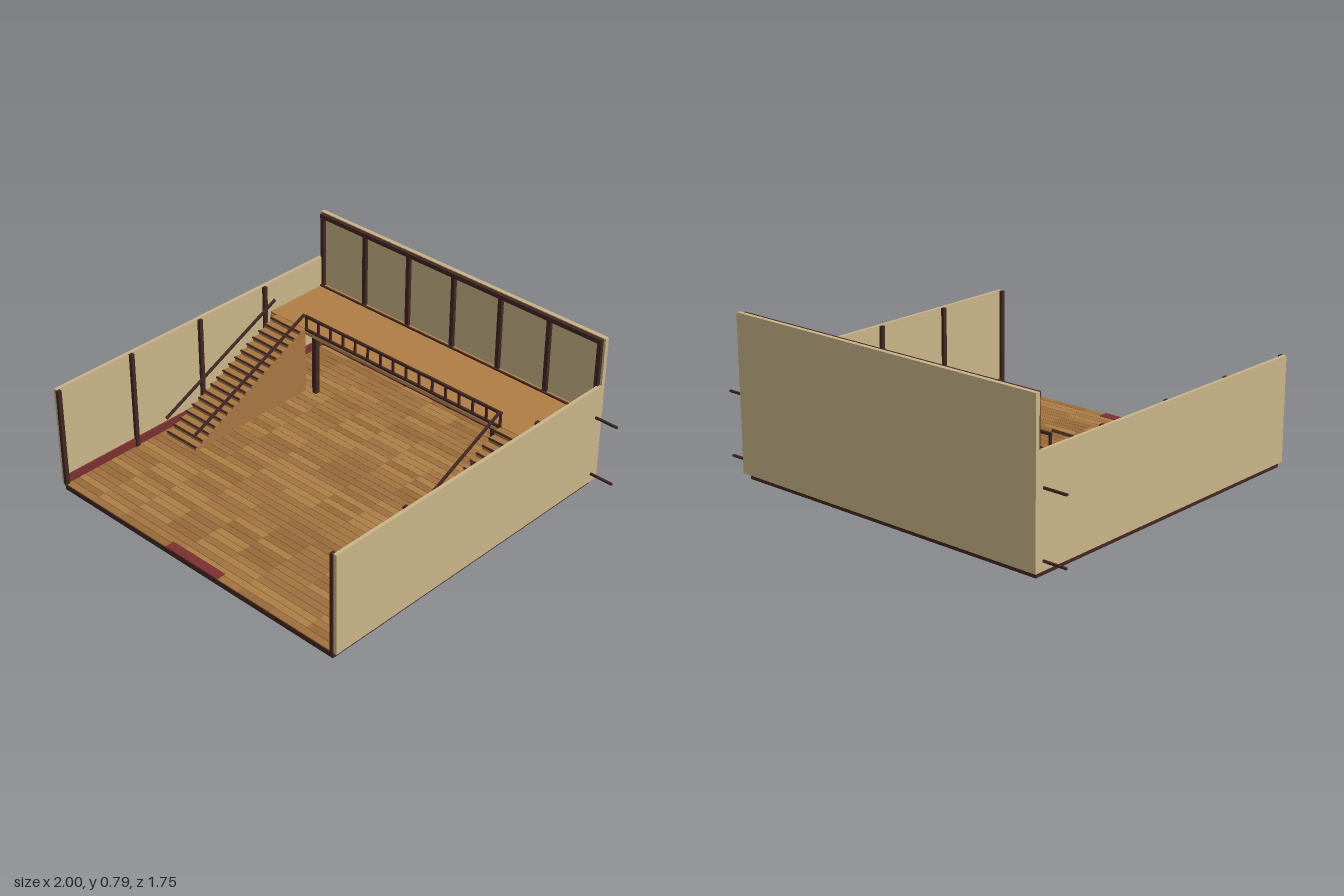
import * as THREE from 'three';
import { mergeGeometries } from 'three/addons/utils/BufferGeometryUtils.js';

const mat = (color) => new THREE.MeshStandardMaterial({ color });
const PLASTER = mat(0xc8b488), TIMBER = mat(0x432822), RED = mat(0x7c3030);
const DECK = mat(0xb07e46), TREAD = mat(0xa87642), TRIM = mat(0xb98d58);
const PLANKS = [0xae7f46, 0xa4743f, 0x986a3a, 0xa07040].map(mat);

// Box geometry given by its low and high corner
function span(x0, x1, y0, y1, z0, z1) {
  return new THREE.BoxGeometry(x1 - x0, y1 - y0, z1 - z0)
    .translate((x0 + x1) / 2, (y0 + y1) / 2, (z0 + z1) / 2);
}

export function createModel() {
  const model = new THREE.Group();
  const add = (name, material, geos, parent = model) => {
    const mesh = new THREE.Mesh(mergeGeometries([].concat(geos)), material);
    mesh.name = name;
    parent.add(mesh);
    return mesh;
  };

  // Foundation, walls
  add('foundation', TIMBER, span(-0.857, 0.857, 0, 0.027, -0.85, 0.867));
  add('backWall', PLASTER, span(-0.877, 0.877, 0.03, 0.79, -0.875, -0.853));
  for (const s of [-1, 1]) {
    add(s > 0 ? 'leftWall' : 'rightWall', PLASTER,
      span(s * 0.868 - 0.009, s * 0.868 + 0.009, 0.03, 0.545, -0.853, 0.868));
  }

  // Floorboards in staggered shades, with narrow dark seams
  const cols = 9, rows = 45, pw = 1.714 / cols, pd = 1.717 / rows;
  const boards = PLANKS.map(() => []);
  let seed = 7;
  const rand = () => (seed = (seed * 16807) % 2147483647) / 2147483647;
  for (let r = 0; r < rows; r++) {
    for (let c = 0; c < cols; c++) {
      const x = -0.857 + c * pw, z = -0.85 + r * pd;
      boards[Math.floor(rand() * 4)].push(
        span(x + 0.001, x + pw - 0.001, 0.022, 0.032, z + 0.0012, z + pd - 0.0012));
    }
  }
  const floor = new THREE.Group();
  floor.name = 'floor';
  model.add(floor);
  boards.forEach((b, i) => add('floorboards' + (i + 1), PLANKS[i], b, floor));
  add('doorMat', RED, span(-0.165, 0.165, 0.028, 0.036, 0.82, 0.869));

  // Wall posts and top beam
  const backPosts = [];
  for (let i = -3; i <= 3; i++) {
    const x = i * 0.285;
    backPosts.push(span(x - 0.011, x + 0.011, 0.03, 0.785, -0.853, -0.836));
  }
  add('backPosts', TIMBER, backPosts);
  add('backTopBeam', TIMBER, span(-0.865, 0.865, 0.764, 0.786, -0.853, -0.833));
  const sidePosts = [];
  for (const s of [-1, 1]) {
    for (const z of [-0.43, 0, 0.43, 0.862]) {
      sidePosts.push(span(s * 0.851 - 0.009, s * 0.851 + 0.009, 0.03, 0.543, z - 0.01, z + 0.01));
    }
  }
  add('sidePosts', TIMBER, sidePosts);

  // Skirting and long rails through the side walls
  add('skirting', RED, [
    span(-0.857, 0.857, 0.03, 0.073, -0.853, -0.838),
    span(-0.859, -0.85, 0.03, 0.075, -0.85, 0.862),
    span(0.85, 0.859, 0.03, 0.075, -0.85, 0.862),
  ]);
  add('throughRails', TIMBER, [0.075, 0.387].map((y) =>
    span(-1, 1, y - 0.005, y + 0.005, -0.833, -0.823)));

  // Balcony with its supports
  add('balconyDeck', DECK, span(-0.857, 0.857, 0.366, 0.385, -0.853, -0.475));
  add('balconyEdge', TRIM, span(-0.857, 0.857, 0.355, 0.372, -0.482, -0.47));
  add('balconySupports', TIMBER, [-0.565, 0.565].map((x) =>
    span(x - 0.013, x + 0.013, 0.03, 0.36, -0.505, -0.479)));

  // Balcony railing
  const railing = [
    span(-0.617, 0.617, 0.451, 0.463, -0.48, -0.468),
    span(-0.617, 0.617, 0.376, 0.388, -0.48, -0.468),
  ];
  for (let i = 0; i < 16; i++) {
    const x = -0.61 + i * 1.22 / 15;
    railing.push(span(x - 0.005, x + 0.005, 0.38, 0.455, -0.479, -0.469));
  }
  add('balconyRailing', TIMBER, railing);

  // Two solid stair flights with dark nosings and sloping handrails
  const steps = 18, z0 = 0.27, run = 0.742 / steps, rise = 0.353 / steps;
  for (const s of [-1, 1]) {
    const stair = new THREE.Group();
    stair.name = s > 0 ? 'leftStair' : 'rightStair';
    stair.position.x = s * 0.715;
    model.add(stair);
    const treads = [], nosings = [];
    for (let i = 0; i < steps; i++) {
      const front = z0 - i * run, top = 0.032 + (i + 1) * rise;
      treads.push(span(-0.1, 0.1, 0.03, top, front - run, front));
      nosings.push(span(-0.101, 0.101, top - 0.004, top + 0.002, front - 0.005, front + 0.003));
    }
    add('treads', TREAD, treads, stair);
    add('nosings', TIMBER, nosings, stair);
    const dz = 0.735, dy = 0.345;
    const rails = [-0.101, 0.101].map((x) =>
      new THREE.BoxGeometry(0.01, 0.013, Math.hypot(dz, dy))
        .rotateX(Math.atan2(dy, dz)).translate(x, 0.298, -0.096));
    add('handrails', TIMBER, rails, stair);
  }
  return model;
}
